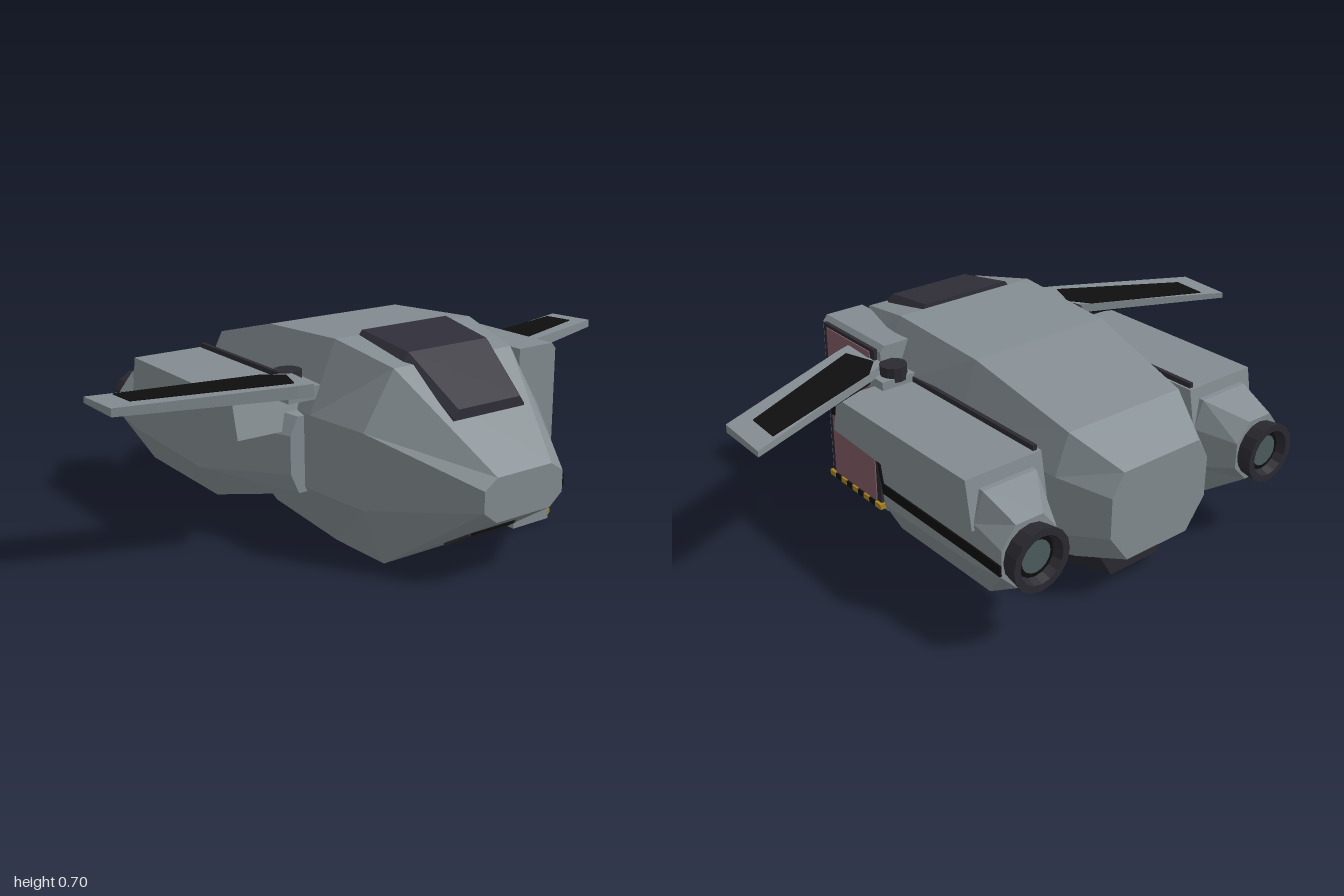
import * as THREE from 'three';

const mat = (name, color, side = THREE.FrontSide) =>
  Object.assign(new THREE.MeshStandardMaterial({ color, side, flatShading: true }), { name });

// Skin a list of rings (counter-clockwise seen from outside the first ring), with end caps
function loft(rings) {
  const out = [], n = rings[0].length;
  const tri = (...pts) => pts.forEach(p => out.push(...p));
  for (let i = 0; i < rings.length - 1; i++) {
    for (let j = 0; j < n; j++) {
      const k = (j + 1) % n, a = rings[i], b = rings[i + 1];
      tri(a[j], b[j], b[k]);
      tri(a[j], b[k], a[k]);
    }
  }
  const first = rings[0], last = rings[rings.length - 1];
  for (let j = 1; j < n - 1; j++) {
    tri(first[0], first[j], first[j + 1]);
    tri(last[0], last[j + 1], last[j]);
  }
  const g = new THREE.BufferGeometry();
  g.setAttribute('position', new THREE.Float32BufferAttribute(out, 3));
  g.computeVertexNormals();
  return g;
}

// Eight-sided cross-section: side, top and bottom half-widths with their heights
const oct = ([z, cx, sw, yl, yu, tw, yt, bw, yb]) => [
  [cx + sw, yl, z], [cx + sw, yu, z], [cx + tw, yt, z], [cx - tw, yt, z],
  [cx - sw, yu, z], [cx - sw, yl, z], [cx - bw, yb, z], [cx + bw, yb, z],
];

// Box from its limits
function box(x0, x1, y0, y1, z0, z1) {
  return new THREE.BoxGeometry(x1 - x0, y1 - y0, z1 - z0)
    .translate((x0 + x1) / 2, (y0 + y1) / 2, (z0 + z1) / 2);
}

// Mirror a geometry across x = 0, keeping faces outward
function mirrored(geo) {
  const g = geo.index ? geo.toNonIndexed() : geo.clone();
  const p = g.attributes.position;
  g.scale(-1, 1, 1);
  for (let i = 0; i < p.count; i += 3) {
    const b = new THREE.Vector3().fromBufferAttribute(p, i + 1);
    const c = new THREE.Vector3().fromBufferAttribute(p, i + 2);
    p.setXYZ(i + 1, c.x, c.y, c.z);
    p.setXYZ(i + 2, b.x, b.y, b.z);
  }
  g.computeVertexNormals();
  return g;
}

export function createModel() {
  const hullGrey = mat('hullGrey', 0x838c91);
  const darkGlass = mat('darkGlass', 0x302f39);
  const darkTrim = mat('darkTrim', 0x2a2a31, THREE.DoubleSide);
  const black = mat('black', 0x0e0e0f, THREE.DoubleSide);
  const doorRed = mat('doorRed', 0x7e5b64);
  const yellow = mat('hazardYellow', 0xa8831f);
  const exhaust = mat('exhaustTeal', 0x4d5c5f);

  const model = new THREE.Group();
  model.name = 'shuttle';
  const add = (name, geo, material) => {
    const m = new THREE.Mesh(geo, material);
    m.name = name;
    model.add(m);
  };
  const pair = (name, geo, material) => {
    add(name + 'Left', geo, material);
    add(name + 'Right', mirrored(geo), material);
  };

  // Faceted hull, nose to tail
  add('hull', loft([
    [0.785, 0, 0.16, 0.25, 0.32, 0.11, 0.353, 0.11, 0.21],
    [0.45, 0, 0.355, 0.2, 0.45, 0.24, 0.635, 0.275, 0.003],
    [0.2, 0, 0.38, 0.2, 0.45, 0.28, 0.685, 0.28, 0],
    [-0.2, 0, 0.345, 0.2, 0.45, 0.27, 0.66, 0.26, 0.015],
    [-0.6, 0, 0.285, 0.22, 0.42, 0.235, 0.555, 0.19, 0.1],
    [-0.765, 0, 0.205, 0.25, 0.39, 0.16, 0.465, 0.13, 0.147],
  ].map(oct)), hullGrey);

  // Canopy wrapped over the nose
  add('canopy', loft([
    [0.62, 0.145, 0.465, 0.525], [0.42, 0.18, 0.6, 0.668], [0.2, 0.195, 0.65, 0.7],
  ].map(([z, x, yb, yt]) => [
    [x, yb, z], [x, yt - 0.025, z], [x - 0.02, yt, z],
    [-x + 0.02, yt, z], [-x, yt - 0.025, z], [-x, yb, z],
  ])), darkGlass);

  // Intake under the nose
  add('noseIntake', loft([[0.65, 0.1, 0.145, 0.118], [0.565, 0.125, 0.1, 0.062]]
    .map(([z, x, yt, yb]) => [[x, yb, z], [x, yt, z], [-x, yt, z], [-x, yb, z]])), darkTrim);
  add('intakeSlot', box(-0.09, 0.09, 0.118, 0.136, 0.645, 0.653), black);

  // Belly skid
  add('bellySkid', loft([
    [-0.12, 0.2, 0.045, 0.03], [-0.22, 0.24, 0.085, 0.01],
    [-0.38, 0.24, 0.095, 0.005], [-0.67, 0.15, 0.11, 0.028],
  ].map(([z, x, yt, yb]) => [
    [x, yt, z], [-x, yt, z], [-x + 0.05, yb, z], [x - 0.05, yb, z],
  ])), darkTrim);

  // Engine pods
  pair('enginePod', loft([
    [0.16, 0.34, 0.09, 0.25, 0.38, 0.06, 0.44, 0.06, 0.18],
    [-0.14, 0.45, 0.145, 0.225, 0.4, 0.1, 0.49, 0.085, 0.115],
    [-0.6, 0.46, 0.135, 0.24, 0.38, 0.1, 0.475, 0.075, 0.12],
    [-0.73, 0.495, 0.103, 0.265, 0.355, 0.05, 0.42, 0.045, 0.205],
  ].map(oct)), hullGrey);
  pair('podCowl', loft([
    [[0.605, 0.39, 0.13], [0.605, 0.515, 0.1], [0.32, 0.515, 0.1], [0.32, 0.39, 0.13]],
    [[0.605, 0.36, -0.605], [0.605, 0.515, -0.575], [0.32, 0.515, -0.575], [0.32, 0.36, -0.605]],
  ]), hullGrey);
  pair('podRail', box(0.328, 0.343, 0.5, 0.532, -0.565, 0.09), darkTrim);

  // Exhaust nozzles
  const nozzle = new THREE.LatheGeometry([
    [0.09, 0.72], [0.096, 0.73], [0.104, 0.787], [0.08, 0.787], [0.068, 0.755],
  ].map(p => new THREE.Vector2(...p)), 16).rotateX(-Math.PI / 2).translate(0.495, 0.31, 0);
  pair('nozzle', nozzle, darkTrim);
  pair('nozzleThroat', new THREE.RingGeometry(0.052, 0.072, 16)
    .rotateY(Math.PI).translate(0.495, 0.31, -0.757), black);
  pair('exhaustDisc', new THREE.CircleGeometry(0.054, 16)
    .rotateY(Math.PI).translate(0.495, 0.31, -0.76), exhaust);

  // Swept wings with inset panels above and below
  const topY = (x, z) => 0.585 - 0.032 * (x - 0.43) + 0.046 * (z - 0.3);
  const lowY = (x, z) => 0.543 - 0.02 * (x - 0.43) + 0.01 * (z - 0.3);
  const slab = (pts, upper, lower) => loft([
    pts.map(([x, z]) => [x, upper(x, z), z]), pts.map(([x, z]) => [x, lower(x, z), z]),
  ]);
  const panel = [[0.925, 0.055], [0.925, -0.065], [0.49, 0.08], [0.43, 0.145], [0.47, 0.25]];
  pair('wing', slab([[1, 0.085], [1, -0.11], [0.4, 0.12], [0.43, 0.3], [0.48, 0.285]], topY, lowY), hullGrey);
  pair('wingPanelTop', slab(panel, (x, z) => topY(x, z) + 0.003, topY), black);
  pair('wingPanelUnder', slab(panel, lowY, (x, z) => lowY(x, z) - 0.003), black);
  pair('wingPivot', new THREE.CylinderGeometry(0.046, 0.046, 0.05, 12).translate(0.39, 0.555, 0.09), darkTrim);
  pair('wingBracket', box(0.3, 0.46, 0.5, 0.545, 0.05, 0.2), hullGrey);

  // Boarding door on the left side
  add('doorHousing', loft([
    [[0.412, 0.003, 0.485], [0.412, 0.61, 0.485], [0.395, 0.63, 0.485], [0.25, 0.63, 0.485], [0.25, 0.003, 0.485]],
    [[0.412, 0.003, 0.13], [0.412, 0.61, 0.13], [0.395, 0.63, 0.13], [0.25, 0.63, 0.13], [0.25, 0.003, 0.13]],
  ]), hullGrey);
  add('doorFrame', box(0.41, 0.424, 0.01, 0.615, 0.15, 0.462), darkTrim);
  add('door', box(0.42, 0.428, 0.03, 0.603, 0.175, 0.44), doorRed);
  add('doorWindow', box(0.425, 0.431, 0.402, 0.446, 0.238, 0.376), darkTrim);
  for (let i = 0; i < 9; i++) {
    const z = 0.14 + i * 0.0367;
    add('hazardBlock' + (i + 1), box(0.405, 0.435, 0.01, 0.03, z, z + 0.0367), i % 2 ? black : yellow);
  }

  // Stripe along the left side: nose, door, pod
  const stripe = (name, pts) => add(name, loft(pts.map(([x, z]) => [
    [x + 0.004, 0.27, z], [x + 0.004, 0.305, z], [x - 0.004, 0.305, z], [x - 0.004, 0.27, z],
  ])), black);
  stripe('noseStripe', [[0.162, 0.785], [0.357, 0.45]]);
  stripe('doorStripe', [[0.427, 0.44], [0.427, 0.175]]);
  stripe('podStripe', [[0.432, 0.16], [0.597, -0.14], [0.597, -0.6], [0.6, -0.73]]);

  return model;
}
